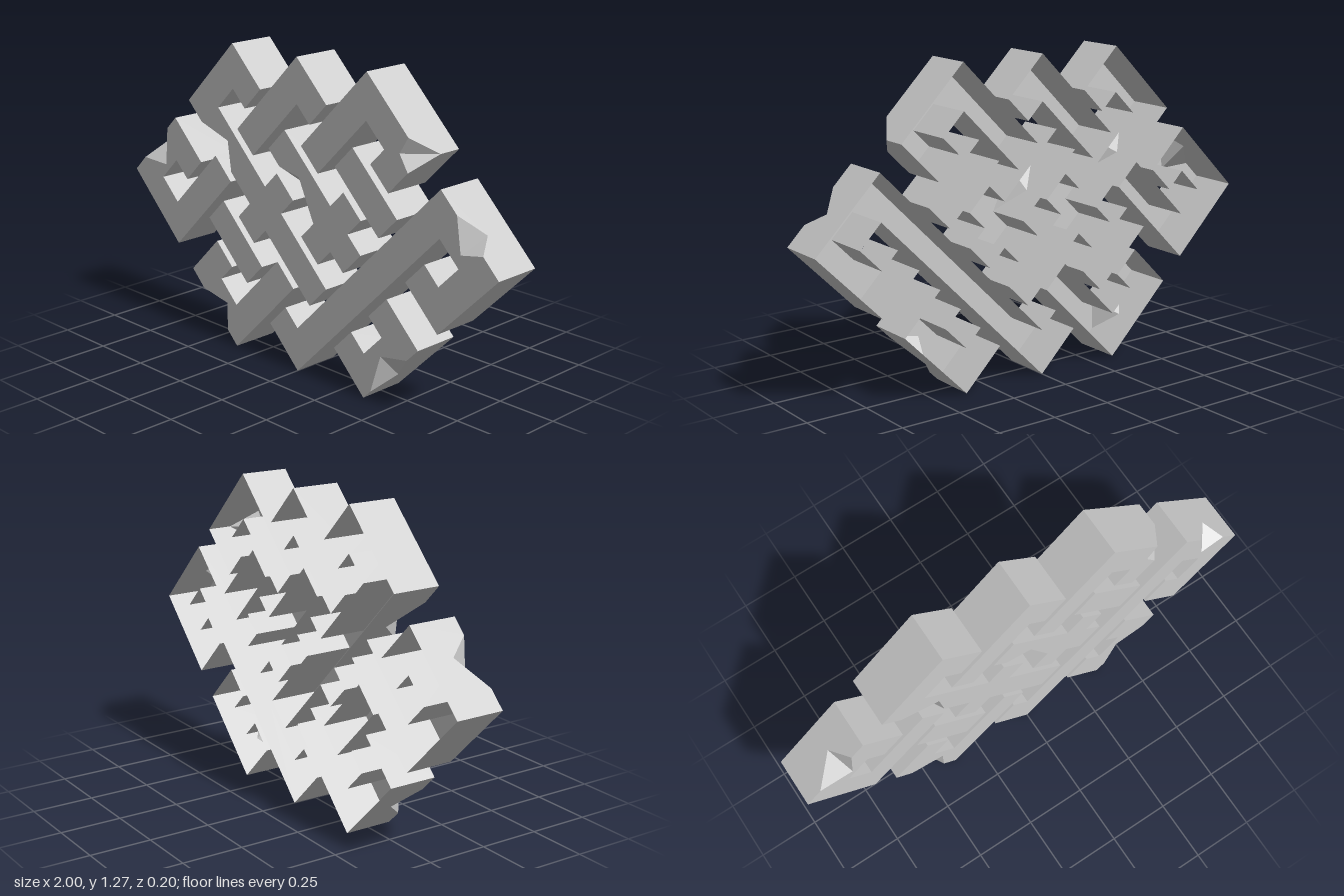
import * as THREE from 'three';

const H = 0.1; // half depth
// Diagonal knot grid (p up-right, q up-left, 22 steps across) to model x, y
const toXY = ([p, q]) => new THREE.Vector2((p - q) / 22, (p + q + 14) / 22);

// Closed centre lines of the three interlaced loops
const LOOPS = {
  fallingLoop: [[2, 10], [-2, 10], [-2, -10], [2, -10]],
  risingLoop: [[10, 2], [10, -2], [-10, -2], [-10, 2]],
  cornerLoop: [[6, 6], [-10, 6], [-10, 10], [-6, 10], [-6, -6], [10, -6], [10, -10], [6, -10]],
};

// Open doorways between the strands of the two joined crossings
const DOORWAYS = [[-3, 2], [-1, 2], [1, -2], [3, -2]].map(([p, q]) =>
  ({ mid: toXY([p, q]), ends: [toXY([p, q - 1]), toXY([p, q + 1])] }));

// Chips knocked out of front edges: three points on the front face, apex down the wall at depth z
const chip = (from, inner, to, apex, z) =>
  ({ from: toXY(from), inner: toXY(inner), to: toXY(to), apex: toXY(apex), z });
const CHIPS = [
  chip([-3, 9.3], [-1.8, 7], [-3, 5.4], [-3, 7.1], 0),
  chip([9.56, -3], [9.83, -1.83], [11, -1.55], [11, -3], 0),
  chip([-6.2, 11], [-8.1, 9.4], [-9.6, 11], [-7.4, 11], 0.01),
  chip([-11, 1.47], [-9.7, -0.45], [-11, -1.77], [-11, -0.2], 0.01),
  chip([11, -9.4], [9.67, -8.5], [11, -6.7], [11, -8.35], 0.02),
  chip([-2.2, -11], [0.1, -9.8], [1.8, -11], [-0.67, -11], 0.02),
  chip([1, 3.2], [1.97, 1.75], [1, -0.95], [1, 1], 0),
];

// Half gap a strand leaves at a crossing, 0 where it passes over.
// Strands alternate, except two joined crossings and one reversed crossing.
function halfGap(p, q, alongP) {
  if (Math.abs(p) === 2 && q === -p) return alongP ? 1 : 0;
  const risingUnder = ((p + q + 12) / 4) % 2 === 0 && !(p === 2 && q === -6);
  return risingUnder === alongP ? 1.5 : 0;
}

// Cut a closed loop into the open strands between its under-crossings
function cutLoop(loop) {
  const pieces = [];
  let current = [];
  loop.forEach((a, i) => {
    const b = loop[(i + 1) % loop.length];
    const alongP = a[1] === b[1];
    const k = alongP ? 0 : 1, fixed = a[1 - k], dir = Math.sign(b[k] - a[k]);
    const at = (m) => (alongP ? [m, fixed] : [fixed, m]);
    current.push(a);
    if (Math.abs(fixed) === 10) return;
    for (let m = a[k] + 4 * dir; m !== b[k]; m += 4 * dir) {
      const gap = halfGap(...at(m), alongP);
      if (gap === 0) continue;
      pieces.push([...current, at(m - gap * dir)]);
      current = [at(m + gap * dir)];
    }
  });
  pieces[0] = [...current, ...pieces[0]];
  return pieces;
}

const EPS = 1e-5;
const onEdge = (v, a, b) => Math.abs(a.distanceTo(v) + v.distanceTo(b) - a.distanceTo(b)) < EPS;

// Counter-clockwise outline of a strand two steps wide around a right-angled path,
// with extra points where a doorway breaks its wall
function outline(path) {
  const right = path.slice(1).map((b, i) =>
    [Math.sign(b[1] - path[i][1]), -Math.sign(b[0] - path[i][0])]);
  const side = (s) => path.map((pt, i) =>
    right.slice(Math.max(i - 1, 0), i + 1).reduce((o, r) => [o[0] + s * r[0], o[1] + s * r[1]], pt));
  const corners = [...side(1), ...side(-1).reverse()].map(toXY);
  return corners.flatMap((a, i) => {
    const b = corners[(i + 1) % corners.length];
    const breaks = DOORWAYS.flatMap((d) => d.ends)
      .filter((v) => onEdge(v, a, b) && v.distanceTo(a) > EPS && v.distanceTo(b) > EPS);
    return [a, ...breaks.sort((u, v) => a.distanceTo(u) - a.distanceTo(v))];
  });
}

// Hollow strand: front face and walls, open at the back, notched where a chip lies on its outline
function strandGeometry(path) {
  const pos = [];
  const pts = outline(path);
  const next = (i) => pts[(i + 1) % pts.length];
  const c = CHIPS.find((ch) => pts.some((a, i) => onEdge(ch.from, a, next(i))));
  const put = (v, z) => pos.push(v.x, v.y, z);
  const fill = (poly, emit) => THREE.ShapeUtils.triangulateShape(poly.map((v) => v.clone()), [])
    .flat().forEach((k) => emit(poly[k]));

  const front = [];
  pts.forEach((a, i) => {
    const b = next(i), len = a.distanceTo(b);
    const starts = c && onEdge(c.from, a, b), ends = c && onEdge(c.to, a, b);
    const cornerA = c && a.distanceTo(c.apex) < EPS, cornerB = c && b.distanceTo(c.apex) < EPS;

    // front outline, going around the chip
    if (!cornerA) front.push(a);
    if (starts) front.push(c.from, c.inner, c.to);

    // no wall across a doorway
    const middle = a.clone().lerp(b, 0.5);
    if (DOORWAYS.some((d) => d.mid.distanceTo(middle) < EPS)) return;

    // wall in (distance along edge, z), with the notch cut from its top
    const wall = [[0, -H], [len, -H], [len, cornerB ? c.z : H]];
    if (ends) wall.push([a.distanceTo(c.to), H]);
    if (starts && ends) wall.push([a.distanceTo(c.apex), c.z]);
    if (starts) wall.push([a.distanceTo(c.from), H]);
    wall.push([0, cornerA ? c.z : H]);
    fill(wall.map(([t, z]) => new THREE.Vector2(t, z)), (w) => put(a.clone().lerp(b, w.x / len), w.y));
  });
  fill(front, (v) => put(v, H));

  // broken faces inside the chip
  if (c) {
    put(c.from, H); put(c.apex, c.z); put(c.inner, H);
    put(c.apex, c.z); put(c.to, H); put(c.inner, H);
  }
  const g = new THREE.BufferGeometry();
  g.setAttribute('position', new THREE.Float32BufferAttribute(pos, 3));
  g.computeVertexNormals();
  return g;
}

export function createModel() {
  const group = new THREE.Group();
  group.name = 'knot';
  const material = new THREE.MeshStandardMaterial({
    color: 0xcccccc, flatShading: true, side: THREE.DoubleSide,
  });
  for (const [name, loop] of Object.entries(LOOPS)) {
    const part = new THREE.Group();
    part.name = name;
    cutLoop(loop).forEach((path, i) => {
      const mesh = new THREE.Mesh(strandGeometry(path), material);
      mesh.name = `${name}Strand${i + 1}`;
      part.add(mesh);
    });
    group.add(part);
  }
  return group;
}
